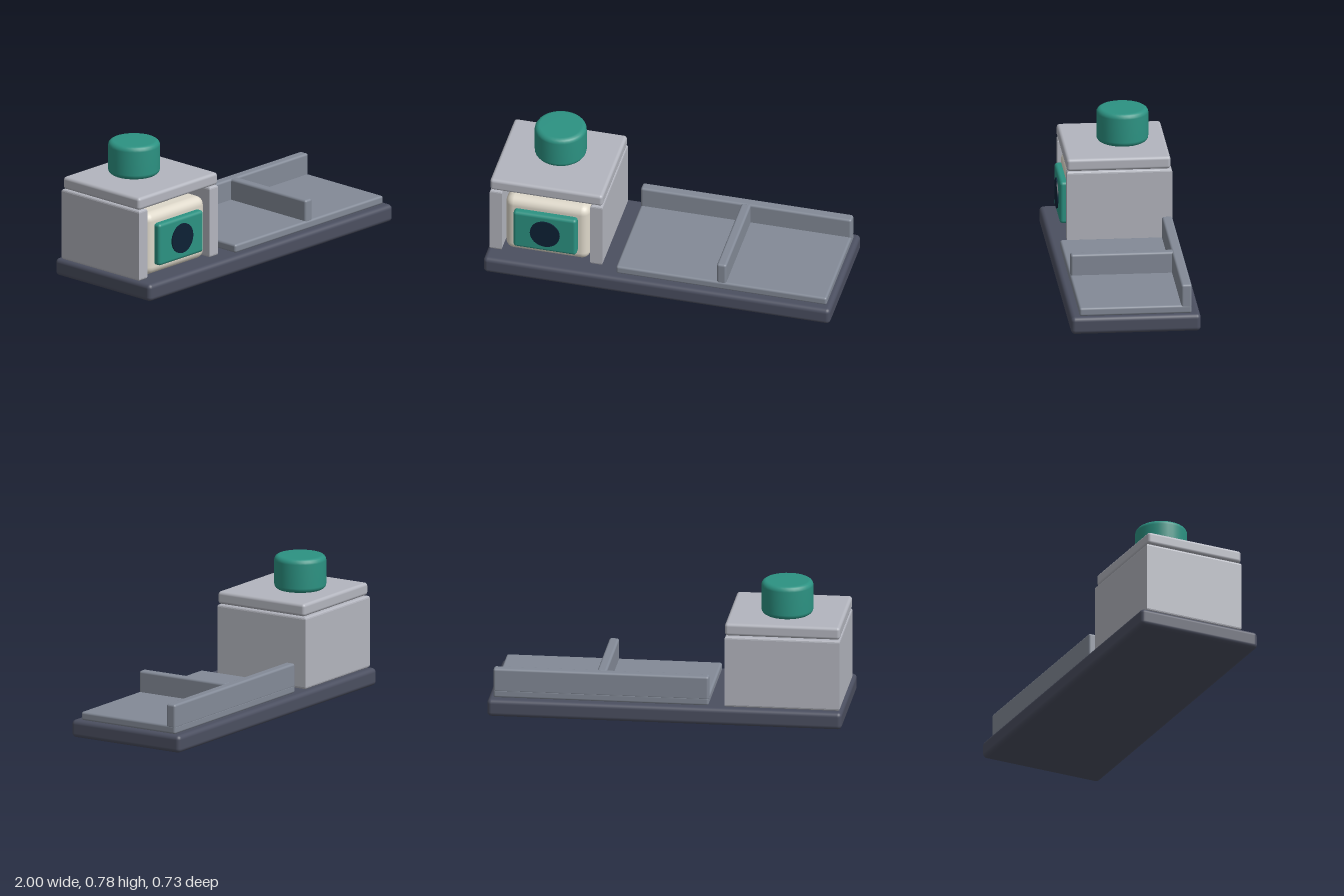
import * as THREE from 'three';
import { RoundedBoxGeometry } from 'three/addons/geometries/RoundedBoxGeometry.js';

const material = (name, color) => {
  const m = new THREE.MeshStandardMaterial({ color });
  m.name = name;
  return m;
};

export function createModel() {
  const model = new THREE.Group();
  model.name = 'model';

  const slate = material('dark slate', 0x4b4f60);
  const trayGrey = material('tray grey', 0x838a97);
  const shellGrey = material('light grey', 0xb3b5be);
  const teal = material('teal', 0x2c9282);
  const cream = material('cream', 0xded8ca);
  const orange = material('orange', 0xd8822a);
  const navy = material('navy', 0x0d2135);

  const add = (name, geometry, mat) => {
    const mesh = new THREE.Mesh(geometry, mat);
    mesh.name = name;
    model.add(mesh);
    return mesh;
  };

  // Rounded box given by its limits on each axis
  const block = (name, mat, [x0, x1], [y0, y1], [z0, z1], radius) => {
    const g = new RoundedBoxGeometry(x1 - x0, y1 - y0, z1 - z0, 3, radius);
    g.translate((x0 + x1) / 2, (y0 + y1) / 2, (z0 + z1) / 2);
    return add(name, g, mat);
  };

  // Upright cylinder with rounded rims
  const roundedCylinder = (name, mat, radius, y0, y1, bevel, x, z) => {
    const points = [new THREE.Vector2(0, y0)];
    for (let i = 0; i <= 4; i++) {
      const a = -Math.PI / 2 + (i / 4) * (Math.PI / 2);
      points.push(new THREE.Vector2(radius - bevel + Math.cos(a) * bevel, y0 + bevel + Math.sin(a) * bevel));
    }
    for (let i = 0; i <= 4; i++) {
      const a = (i / 4) * (Math.PI / 2);
      points.push(new THREE.Vector2(radius - bevel + Math.cos(a) * bevel, y1 - bevel + Math.sin(a) * bevel));
    }
    points.push(new THREE.Vector2(0, y1));
    const mesh = add(name, new THREE.LatheGeometry(points, 32), mat);
    mesh.position.set(x, 0, z);
  };

  // Base slab
  block('base', slate, [-1, 1], [0, 0.1], [-0.365, 0.365], 0.025);

  // Tray with back wall and divider
  block('trayFloor', trayGrey, [-0.245, 0.97], [0.098, 0.147], [-0.316, 0.316], 0.013);
  block('trayBackWall', trayGrey, [-0.245, 0.97], [0.13, 0.268], [-0.316, -0.257], 0.013);
  block('trayDivider', trayGrey, [0.335, 0.39], [0.13, 0.268], [-0.27, 0.312], 0.013);

  // U-shaped housing, open at the front
  const bevel = 0.014;
  const plan = [
    [-0.985, -0.268], [-0.985, 0.325], [-0.335, 0.325], [-0.335, -0.268],
    [-0.405, -0.268], [-0.405, 0.26], [-0.915, 0.26], [-0.915, -0.268],
  ];
  const housing = new THREE.ExtrudeGeometry(new THREE.Shape(plan.map(([x, y]) => new THREE.Vector2(x, y))), {
    depth: 0.415 - 2 * bevel, bevelEnabled: true, bevelThickness: bevel,
    bevelSize: bevel, bevelOffset: -bevel, bevelSegments: 3,
  });
  housing.rotateX(-Math.PI / 2);
  housing.translate(0, 0.098 + bevel, 0);
  add('housing', housing, shellGrey);
  block('roof', shellGrey, [-0.985, -0.335], [0.515, 0.587], [-0.316, 0.268], 0.018);

  // Inner body and stem
  block('innerBody', cream, [-0.903, -0.417], [0.1, 0.466], [-0.245, 0.255], 0.05);
  const stem = add('stem', new THREE.CylinderGeometry(0.12, 0.12, 0.1, 32), orange);
  stem.position.set(-0.66, 0.48, -0.073);

  // Front panel with round lens
  block('frontPanel', teal, [-0.845, -0.48], [0.16, 0.405], [0.235, 0.294], 0.018);
  const lens = add('lens', new THREE.CylinderGeometry(0.086, 0.086, 0.009, 32), navy);
  lens.rotation.x = Math.PI / 2;
  lens.position.set(-0.66, 0.284, 0.2965);

  // Top knob
  roundedCylinder('knob', teal, 0.146, 0.587, 0.78, 0.028, -0.66, -0.073);

  return model;
}
